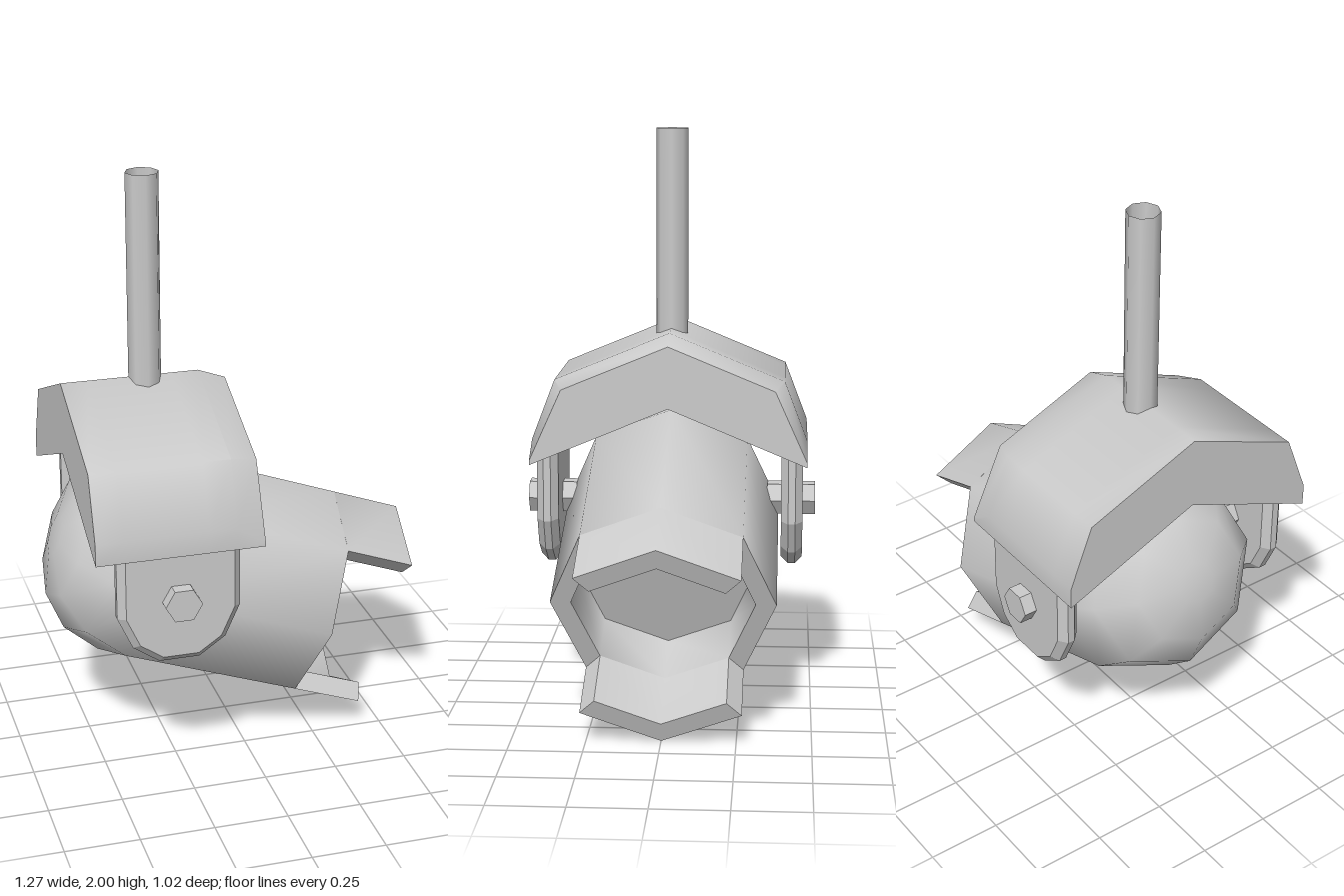
import * as THREE from 'three';
import { toCreasedNormals } from 'three/addons/utils/BufferGeometryUtils.js';

const grey = new THREE.MeshStandardMaterial({ color: 0xcccccc });
const greyThin = new THREE.MeshStandardMaterial({ color: 0xcccccc, side: THREE.DoubleSide });
const CREASE = 0.86; // keeps octagon sides smooth, cut edges sharp

function part(parent, name, geometry, material = grey) {
  const mesh = new THREE.Mesh(geometry, material);
  mesh.name = name;
  parent.add(mesh);
  return mesh;
}

const shapeOf = (pts) => new THREE.Shape(pts.map(([x, y]) => new THREE.Vector2(x, y)));

// Outline given for one half, mirrored across the middle
const mirrored = (half) => [
  ...half,
  ...half.filter(([x]) => x !== 0).reverse().map(([x, y]) => [-x, y]),
];

export function createModel() {
  const model = new THREE.Group();
  model.name = 'spotlight';
  const pivotX = -0.2825;
  const pivotY = 0.692;

  // Lamp, tilted 20 degrees down; local x runs along its axis
  const lamp = new THREE.Group();
  lamp.name = 'lamp';
  lamp.position.set(0.174, 0.477, 0);
  lamp.rotation.z = -THREE.MathUtils.degToRad(20);
  model.add(lamp);

  // Eight-sided housing: domed back, open front, recessed lens
  const profile = [
    [0, -0.826], [0.07, -0.824], [0.215, -0.788], [0.325, -0.685], [0.38, -0.54],
    [0.38, 0.102], [0.31, 0.102], [0.31, -0.114], [0, -0.114],
  ].map(([r, s]) => new THREE.Vector2(r, s));
  const housing = new THREE.LatheGeometry(profile, 8);
  housing.rotateZ(-Math.PI / 2);
  part(lamp, 'housing', toCreasedNormals(housing, CREASE));

  // Upper and lower flaps continue two sides of the housing
  const flapShape = shapeOf([
    [-0.269, 0.269], [-0.219, 0.219], [0, 0.31], [0.219, 0.219], [0.269, 0.269], [0, 0.38],
  ]);
  for (const [name, turn] of [['upperFlap', 0], ['lowerFlap', Math.PI]]) {
    const flap = new THREE.ExtrudeGeometry(flapShape, { depth: 0.25, bevelEnabled: false });
    flap.rotateY(Math.PI / 2);
    flap.translate(0.102, 0, 0);
    flap.rotateX(turn);
    part(lamp, name, toCreasedNormals(flap, CREASE));
  }

  // Hood over the lamp, its upper edge chamfered at the +x end
  const hoodLength = 0.565;
  const hood = new THREE.ExtrudeGeometry(
    shapeOf([
      [0, 1.055], [0.48, 0.855], [0.48, 0.93], [0.4, 1.14],
      [0, 1.305], [-0.4, 1.14], [-0.48, 0.93], [-0.48, 0.855],
    ]),
    { depth: hoodLength, steps: 6, bevelEnabled: false },
  );
  const pos = hood.attributes.position;
  for (let i = 0; i < pos.count; i++) {
    if (pos.getZ(i) < hoodLength - 0.001) continue;
    const x = pos.getX(i);
    const y = pos.getY(i);
    if (y > 1.1) pos.setXY(i, x * 0.92, 0.87 + (y - 0.87) * 0.92);
    else if (Math.abs(y - 0.93) < 0.001) pos.setY(i, 0.87);
  }
  hood.rotateY(Math.PI / 2);
  hood.translate(-hoodLength, 0, 0);
  part(model, 'hood', toCreasedNormals(hood, CREASE));

  // Side brackets with rounded lower ends, and the hexagonal pivot bolts
  const bracketShape = shapeOf(mirrored([
    [0.06, 0.492], [0.137, 0.545], [0.1825, 0.645], [0.1825, 0.92],
  ]));
  for (const side of [1, -1]) {
    const bracket = new THREE.ExtrudeGeometry(bracketShape, {
      depth: 0.025, bevelThickness: 0.025, bevelSize: 0.025, bevelSegments: 1,
    });
    bracket.translate(pivotX, 0, side * 0.4275 - 0.0125);
    part(model, side > 0 ? 'frontBracket' : 'backBracket', bracket);

    const bolt = new THREE.CylinderGeometry(0.062, 0.062, 0.17, 6);
    bolt.rotateY(Math.PI / 6);
    bolt.rotateX(Math.PI / 2);
    bolt.translate(pivotX, pivotY, side * 0.425);
    part(model, side > 0 ? 'frontBolt' : 'backBolt', toCreasedNormals(bolt, 0.5));
  }

  // Hollow hanging pole
  const pole = new THREE.CylinderGeometry(0.056, 0.056, 0.72, 8, 1, true);
  pole.translate(-0.278, 1.64, 0);
  part(model, 'pole', pole, greyThin);

  return model;
}
